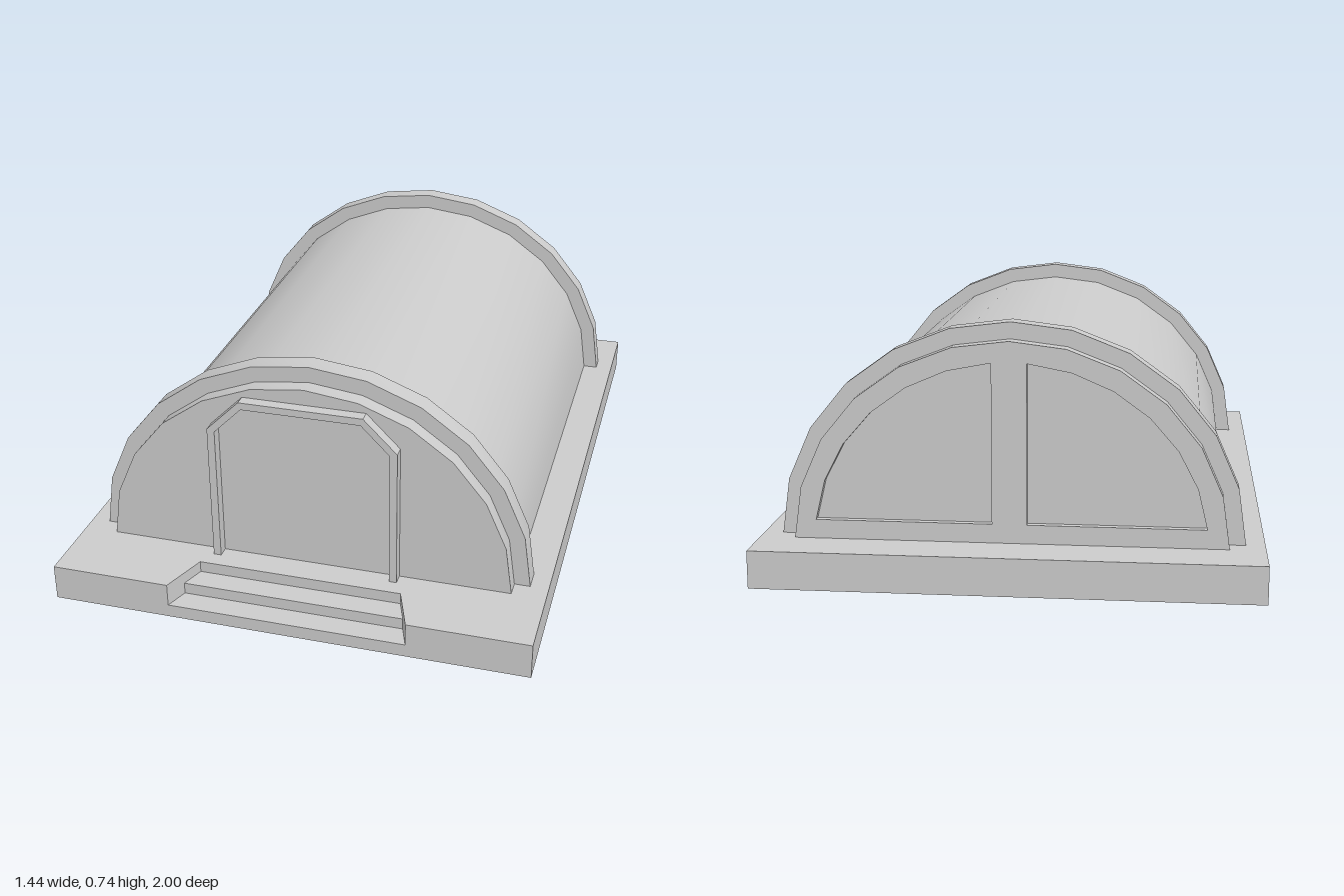
import * as THREE from 'three';

const SMOOTH = new THREE.MeshStandardMaterial({ color: 0xcccccc, side: THREE.DoubleSide });
const FLAT = new THREE.MeshStandardMaterial({ color: 0xcccccc, side: THREE.DoubleSide, flatShading: true });

const W = 0.722, FLOOR = 0.11;               // base half width and height
const FRONT = 0.775, BACK = -0.86;           // end walls
const RIBS = [[0.66, 0.725], [-0.815, -0.755]];
const RX = 0.62, RIB_RX = 0.667;
const FRAME_Z = 0.81;

const mirror = (pts) => pts.map(([x, y]) => [-x, y]).reverse();
const vec = (pts) => pts.map(([x, y]) => new THREE.Vector2(x, y));

// Points on an elliptical arc above the floor, from +x over the top
function arc(rx, ry, t0 = 0, t1 = Math.PI, n = 12) {
  return Array.from({ length: n + 1 }, (_, i) => {
    const t = t0 + (t1 - t0) * i / n;
    return [rx * Math.cos(t), FLOOR + ry * Math.sin(t)];
  });
}

function add(parent, name, geometry, material = FLAT) {
  const mesh = new THREE.Mesh(geometry, material);
  mesh.name = name;
  parent.add(mesh);
  return mesh;
}

// Open sheet: a profile swept from z0 to z1
function strip(pts, z0, z1) {
  const pos = [], idx = [];
  pts.forEach(([x, y], i) => {
    pos.push(x, y, z0, x, y, z1);
    if (i) {
      const a = 2 * (i - 1);
      idx.push(a, a + 2, a + 1, a + 1, a + 2, a + 3);
    }
  });
  const g = new THREE.BufferGeometry();
  g.setAttribute('position', new THREE.Float32BufferAttribute(pos, 3));
  g.setIndex(idx);
  g.computeVertexNormals();
  return g;
}

// Flat outline standing at depth z, facing front or back (symmetric outlines)
function sheet(pts, z, facesBack = false, holes = []) {
  const shape = new THREE.Shape(vec(pts));
  holes.forEach((h) => shape.holes.push(new THREE.Path(vec(h))));
  const g = new THREE.ShapeGeometry(shape);
  if (facesBack) g.rotateY(Math.PI);
  return g.translate(0, 0, z);
}

// Flat polygon in space, fanned from its first corner
function polygon(pts) {
  const g = new THREE.BufferGeometry();
  g.setAttribute('position', new THREE.Float32BufferAttribute(pts.flat(), 3));
  const idx = [];
  for (let i = 1; i < pts.length - 1; i++) idx.push(0, i, i + 1);
  g.setIndex(idx);
  g.computeVertexNormals();
  return g;
}

function buildBase(group) {
  // Top slab, open beneath the hut, ribs and door jambs, with the stair notch
  const half = [[0.285, FRONT], [RX, FRONT], [RX, 0.725], [RIB_RX, 0.725], [RIB_RX, 0.66], [RX, 0.66],
    [RX, -0.755], [RIB_RX, -0.755], [RIB_RX, -0.815], [RX, -0.815], [RX, BACK]];
  const jamb = [[0.262, FRONT], [0.262, FRAME_Z], [0.285, FRAME_Z]];
  const side = [...jamb, ...half];
  const flip = (pts) => pts.map(([x, z]) => [x, -z]);
  const outline = [[0.31, 0.86], [0.36, 1], [W, 1], [W, -1]];
  const top = sheet(flip([...outline, ...mirror(outline)]), 0, false, [flip([...side, ...mirror(side)])]);
  add(group, 'baseTop', top.rotateX(-Math.PI / 2).translate(0, FLOOR, 0));

  // Perimeter walls
  const frontHalf = [[W, 0], [W, FLOOR], [0.36, FLOOR], [0.36, 0.04]];
  add(group, 'baseFront', sheet([...frontHalf, ...mirror(frontHalf)], 1));
  add(group, 'baseBack', sheet([[W, 0], [W, FLOOR], [-W, FLOOR], [-W, 0]], -1, true));
  add(group, 'baseLeft', strip([[W, 0], [W, FLOOR]], -1, 1));
  add(group, 'baseRight', strip([[-W, FLOOR], [-W, 0]], -1, 1));

  // Tapering steps sunk into the front
  const steps = [[0.36, 1, 0.335, 0.93, 0.04], [0.335, 0.93, 0.31, 0.86, 0.075]];
  for (const [x0, z0, x1, z1, y] of steps) {
    add(group, 'stepTread', polygon([[-x0, y, z0], [x0, y, z0], [x1, y, z1], [-x1, y, z1]]));
    add(group, 'stepRiser', polygon([[-x1, y, z1], [x1, y, z1], [x1, y + 0.035, z1], [-x1, y + 0.035, z1]]));
  }
  const cheek = [[0.36, FLOOR, 1], [0.31, FLOOR, 0.86], [0.31, 0.075, 0.86],
    [0.335, 0.075, 0.93], [0.335, 0.04, 0.93], [0.36, 0.04, 1]];
  add(group, 'stepCheekLeft', polygon(cheek));
  const [first, ...rest] = cheek.map(([x, y, z]) => [-x, y, z]);
  add(group, 'stepCheekRight', polygon([first, ...rest.reverse()]));
}

function buildVault(group) {
  const inner = arc(RX, 0.58), outer = arc(RIB_RX, 0.628);
  for (const [z0, z1] of [[BACK, -0.815], [-0.755, 0.66], [0.725, FRONT]]) {
    add(group, 'vault', strip(inner, z0, z1), SMOOTH);
  }
  // Raised ribs, hollow behind
  const band = [...outer, ...[...inner].reverse()];
  for (const [z0, z1] of RIBS) {
    add(group, 'ribOuter', strip(outer, z0, z1), SMOOTH);
    add(group, 'ribFrontFace', sheet(band, z1));
    add(group, 'ribBackFace', sheet(band, z0, true));
  }
}

function buildFrontWall(group) {
  const outerHalf = [[0.285, FLOOR], [0.285, 0.542], [0.185, 0.642]];
  const innerHalf = [[0.262, FLOOR], [0.262, 0.535], [0.178, 0.62]];
  const outer = [...outerHalf, ...mirror(outerHalf)];
  const inner = [...innerHalf, ...mirror(innerHalf)];
  add(group, 'frontWall', sheet([...arc(RX, 0.58), ...[...outer].reverse()], FRONT));
  add(group, 'door', sheet(inner, FRONT));
  // Projecting door frame
  add(group, 'doorFrameFace', sheet([...outer, ...[...inner].reverse()], FRAME_Z));
  add(group, 'doorFrameOuter', strip(outer, FRONT, FRAME_Z));
  add(group, 'doorFrameInner', strip([...inner].reverse(), FRONT, FRAME_Z));
}

function buildBackWall(group) {
  // Two quarter-round windows, set back behind the wall face
  const left = [[0.05, 0.165], ...arc(0.56, 0.52, 0.106, 1.481, 6)];
  const windows = [left, mirror(left)];
  add(group, 'backWall', sheet(arc(RX, 0.58), BACK, true, windows));
  for (const w of windows) {
    add(group, 'windowPane', sheet(mirror(w), BACK + 0.02, true));
    add(group, 'windowReveal', strip([...w, w[0]].reverse(), BACK, BACK + 0.02));
  }
}

export function createModel() {
  const model = new THREE.Group();
  model.name = 'vaultedHut';
  const parts = { base: buildBase, vaultShell: buildVault, frontEnd: buildFrontWall, backEnd: buildBackWall };
  for (const [name, build] of Object.entries(parts)) {
    const group = new THREE.Group();
    group.name = name;
    build(group);
    model.add(group);
  }
  return model;
}
